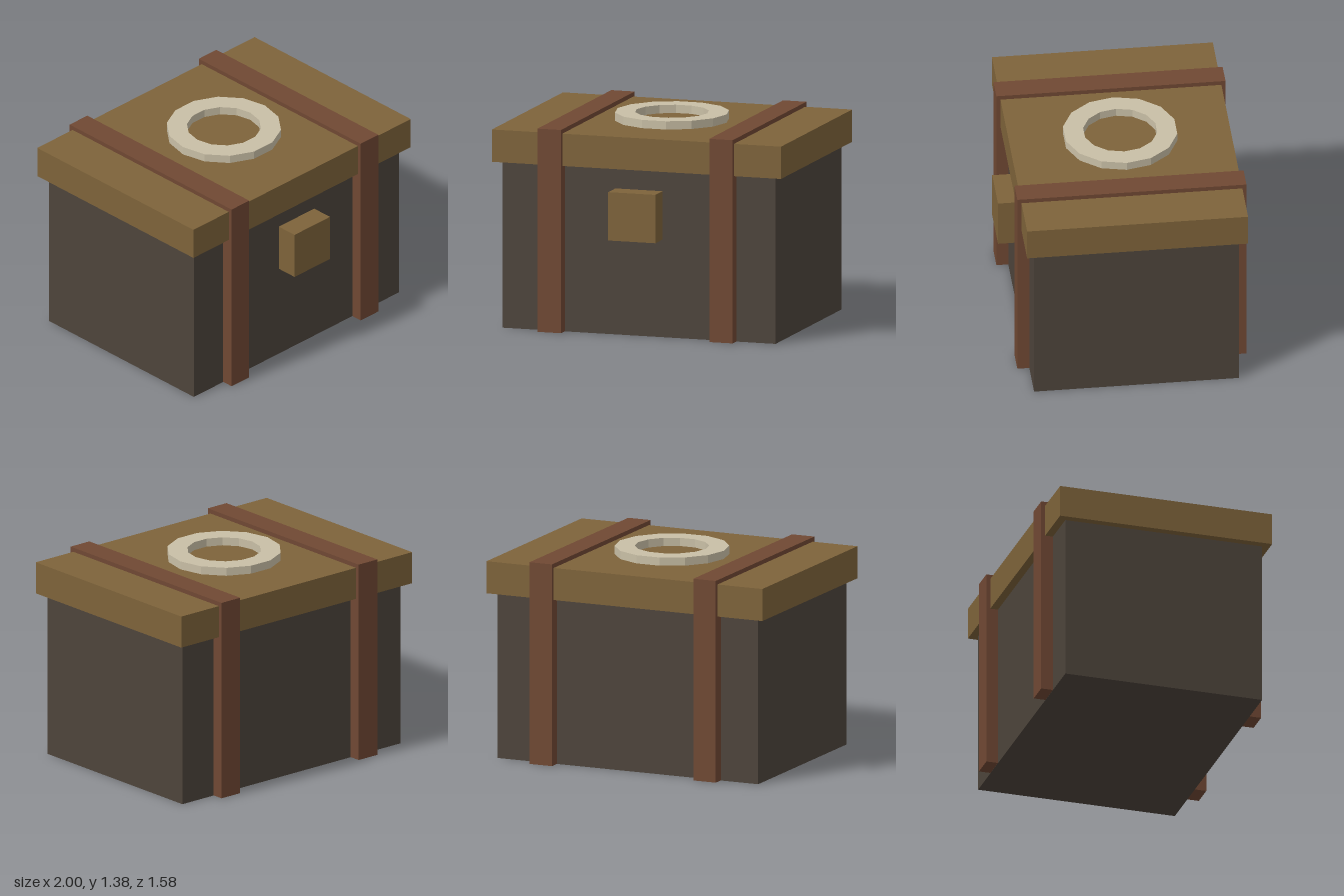
import * as THREE from 'three';

const mat = (color) => new THREE.MeshStandardMaterial({ color, flatShading: true });

// Box given by its [min, max] range on each axis
function box(name, [x0, x1], [y0, y1], [z0, z1], material) {
  const mesh = new THREE.Mesh(new THREE.BoxGeometry(x1 - x0, y1 - y0, z1 - z0), material);
  mesh.position.set((x0 + x1) / 2, (y0 + y1) / 2, (z0 + z1) / 2);
  mesh.name = name;
  return mesh;
}

// Closed loop of points for a regular polygon with a corner on +x
function polygon(radius, sides) {
  return Array.from({ length: sides }, (_, i) => {
    const a = (i / sides) * Math.PI * 2;
    return new THREE.Vector2(Math.cos(a) * radius, Math.sin(a) * radius);
  });
}

export function createModel() {
  const group = new THREE.Group();
  group.name = 'chest';
  const darkWood = mat(0x4d443b);
  const lightWood = mat(0x7e633a);
  const leather = mat(0x704833);
  const bone = mat(0xc9bfa6);

  // Body, overhanging lid and front latch
  group.add(box('body', [-0.945, 0.945], [0, 1.12], [-0.71, 0.643], darkWood));
  group.add(box('lid', [-1, 1], [1.11, 1.325], [-0.763, 0.695], lightWood));
  group.add(box('latch', [-0.163, 0.163], [0.65, 0.972], [0.6, 0.79], lightWood));

  // Straps wrapping the front, top and back; the base sits a hair above the body's underside
  for (const [name, side] of [['leftStrap', 1], ['rightStrap', -1]]) {
    const x = side * 0.594;
    group.add(box(name, [x - 0.081, x + 0.081], [0.001, 1.354], [-0.79, 0.722], leather));
  }

  // Faceted ring lying on the lid
  const shape = new THREE.Shape(polygon(0.377, 14));
  shape.holes.push(new THREE.Path(polygon(0.244, 14)));
  const ringGeometry = new THREE.ExtrudeGeometry(shape, { depth: 0.065, bevelEnabled: false });
  ringGeometry.rotateX(-Math.PI / 2);
  const ring = new THREE.Mesh(ringGeometry, bone);
  ring.position.set(0, 1.315, -0.035);
  ring.name = 'lidRing';
  group.add(ring);

  return group;
}
